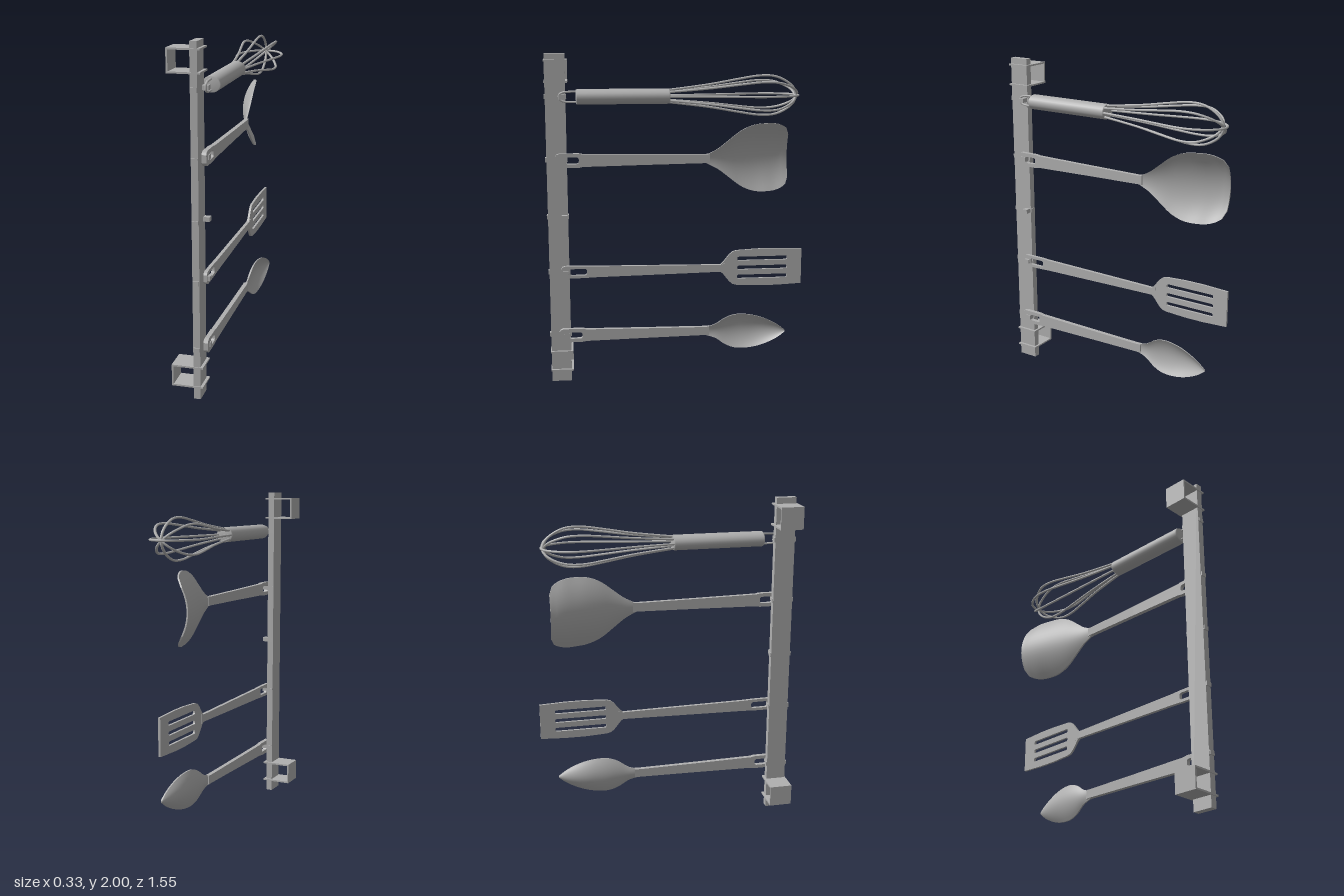
import * as THREE from 'three';

const steel = new THREE.MeshStandardMaterial({ color: 0xb0b0b0 });
steel.name = 'grey steel';

function add(parent, name, geometry, x = 0, y = 0, z = 0) {
  const mesh = new THREE.Mesh(geometry, steel);
  mesh.name = name;
  mesh.position.set(x, y, z);
  parent.add(mesh);
  return mesh;
}

// Box given by its limits on each axis
function slab(parent, name, x0, x1, y0, y1, z0, z1) {
  return add(parent, name, new THREE.BoxGeometry(x1 - x0, y1 - y0, z1 - z0),
    (x0 + x1) / 2, (y0 + y1) / 2, (z0 + z1) / 2);
}

// Symmetric outline from [z, half height] pairs, drawn with -z to the right
function outline(profile) {
  const pts = profile.map(([z, h]) => new THREE.Vector2(-z, -h));
  const back = profile.map(([z, h]) => new THREE.Vector2(-z, h)).reverse();
  return new THREE.Shape([...pts, ...back]);
}

// Rounded slot used for hanging holes and turner cut-outs
function slot(zFront, zBack, h, y = 0) {
  const r = h * 0.8, a = -zFront, b = -zBack;
  const p = new THREE.Path();
  p.moveTo(a + r, y - h);
  p.lineTo(b - r, y - h);
  p.quadraticCurveTo(b, y - h, b, y - h + r);
  p.lineTo(b, y + h - r);
  p.quadraticCurveTo(b, y + h, b - r, y + h);
  p.lineTo(a + r, y + h);
  p.quadraticCurveTo(a, y + h, a, y + h - r);
  p.lineTo(a, y - h + r);
  p.quadraticCurveTo(a, y - h, a + r, y - h);
  return p;
}

// Flat part cut from an outline, its thickness running along x
function flatPart(parent, name, shape, thickness, x, y) {
  const geo = new THREE.ExtrudeGeometry(shape, { depth: thickness, bevelEnabled: false, curveSegments: 6 });
  geo.rotateY(Math.PI / 2);
  return add(parent, name, geo, x, y);
}

// Dished head: each key is [z, half height, x at the middle, x at the rim]
function dishedHead(parent, name, keys, thickness, y) {
  const spline = new THREE.CubicInterpolant(keys.map(k => -k[0]), keys.flat(), 4);
  const first = keys[0][0], last = keys[keys.length - 1][0];
  const geo = new THREE.BoxGeometry(1, 1, 1, 1, 14, 28);
  const pos = geo.attributes.position;
  for (let i = 0; i < pos.count; i++) {
    const t = 0.5 - pos.getZ(i), across = pos.getY(i) * 2;
    const z = THREE.MathUtils.lerp(first, last, t);
    const [, half, mid, rim] = spline.evaluate(-z);
    const x = mid + (rim - mid) * across * across;
    pos.setXYZ(i, x + pos.getX(i) * thickness, Math.max(half, 0.002) * across, z);
  }
  geo.computeVertexNormals();
  return add(parent, name, geo, 0, y);
}

// Handle with a rounded eye at the hanging end
const eyeHandle = [[0.72, 0.022], [0.712, 0.035], [0.695, 0.042], [0.58, 0.042], [0.555, 0.037],
  [0.2, 0.031], [-0.17, 0.026], [-0.2, 0.028]];

function whisk(y) {
  const g = new THREE.Group();
  g.name = 'whisk';
  g.position.set(0.021, y, 0);
  g.scale.y = 0.86;
  // grip with slightly rounded ends
  const grip = new THREE.LatheGeometry([[0, 0.04], [0.048, 0.04], [0.0525, 0.048],
    [0.0525, 0.582], [0.048, 0.59], [0, 0.59]].map(p => new THREE.Vector2(...p)), 24);
  grip.rotateX(Math.PI / 2);
  add(g, 'whiskGrip', grip);
  // wire loops crossing at the tip
  const side = [[0.04, 0.06], [0.055, -0.05], [0.08, -0.21], [0.114, -0.375], [0.134, -0.49],
    [0.131, -0.58], [0.1, -0.66], [0.052, -0.71]];
  for (let i = 0; i < 4; i++) {
    const lift = i * 0.006;
    const pts = [...side, [0, -0.725], ...side.map(([r, z]) => [-r, z]).reverse()]
      .map(([r, z]) => new THREE.Vector3(r, 0, z < -0.6 ? z + lift : z));
    const wire = new THREE.TubeGeometry(new THREE.CatmullRomCurve3(pts), 64, 0.008, 8);
    wire.rotateZ(i * Math.PI / 4);
    add(g, 'whiskWire', wire);
  }
  // hanging loop
  const loop = [[0.57, -0.033], [0.655, -0.033], [0.685, -0.018], [0.685, 0.018], [0.655, 0.033], [0.57, 0.033]]
    .map(([z, h]) => new THREE.Vector3(0, h, z));
  add(g, 'whiskHangingLoop', new THREE.TubeGeometry(
    new THREE.CatmullRomCurve3(loop, true, 'catmullrom', 0.2), 40, 0.007, 8, true));
  return g;
}

function scoopTurner(y) {
  const g = new THREE.Group();
  g.name = 'scoopTurner';
  const shape = outline(eyeHandle);
  shape.holes.push(slot(0.66, 0.58, 0.02));
  flatPart(g, 'turnerHandle', shape, 0.026, 0.004, y);
  dishedHead(g, 'turnerHead', [
    [-0.18, 0.026, 0.016, 0.018], [-0.25, 0.062, 0.003, 0.015], [-0.31, 0.108, -0.013, 0.014],
    [-0.39, 0.168, -0.038, 0.012], [-0.47, 0.2, -0.063, 0.005], [-0.55, 0.207, -0.087, -0.01],
    [-0.61, 0.203, -0.104, -0.03], [-0.66, 0.185, -0.116, -0.05], [-0.685, 0.165, -0.12, -0.068],
    [-0.698, 0.13, -0.124, -0.09]], 0.01, y - 0.003);
  return g;
}

function spoon(y) {
  const g = new THREE.Group();
  g.name = 'spoon';
  const shape = outline(eyeHandle);
  shape.holes.push(slot(0.66, 0.58, 0.02));
  flatPart(g, 'spoonHandle', shape, 0.026, 0.004, y);
  dishedHead(g, 'spoonBowl', [
    [-0.18, 0.026, 0.016, 0.018], [-0.24, 0.045, 0.012, 0.023], [-0.3, 0.085, 0.007, 0.03],
    [-0.35, 0.105, 0.004, 0.035], [-0.41, 0.11, 0.004, 0.04], [-0.5, 0.096, 0.01, 0.049],
    [-0.57, 0.07, 0.024, 0.056], [-0.63, 0.037, 0.044, 0.061], [-0.67, 0.005, 0.062, 0.064]], 0.008, y - 0.003);
  return g;
}

function slottedTurner(y) {
  const g = new THREE.Group();
  g.name = 'slottedTurner';
  const handle = outline([[0.7, 0.02], [0.692, 0.032], [0.675, 0.038], [0.56, 0.037], [0.5, 0.034],
    [0.1, 0.028], [-0.27, 0.022], [-0.3, 0.03]]);
  handle.holes.push(slot(0.65, 0.545, 0.02));
  flatPart(g, 'slottedTurnerHandle', handle, 0.02, 0.002, y);
  const blade = outline([[-0.27, 0.022], [-0.285, 0.035], [-0.325, 0.085], [-0.345, 0.102], [-0.37, 0.109],
    [-0.5, 0.116], [-0.62, 0.116], [-0.775, 0.109]]);
  for (const dy of [-0.057, 0, 0.057]) blade.holes.push(slot(-0.375, -0.685, 0.012, dy));
  flatPart(g, 'slottedTurnerBlade', blade, 0.014, 0.004, y);
  return g;
}

export function createModel() {
  const model = new THREE.Group();
  model.name = 'utensilRack';

  // upright rail
  slab(model, 'rail', -0.04, 0, 0, 2, 0.65, 0.77);

  // channel brackets behind the rail ends
  for (const [y0, y1] of [[0.068, 0.196], [1.832, 1.964]]) {
    const bracket = new THREE.Group();
    bracket.name = 'bracket';
    slab(bracket, 'bracketBack', -0.166, -0.156, y0, y1, 0.637, 0.775);
    for (const y of [y0, y1 - 0.01]) slab(bracket, 'bracketArm', -0.166, 0.016, y, y + 0.01, 0.637, 0.775);
    model.add(bracket);
  }

  // hooks: a strip through the rail with a peg on the side
  for (const y of [1.75, 1.38, 1.035, 0.695, 0.3]) {
    const hook = new THREE.Group();
    hook.name = 'hook';
    slab(hook, 'hookStrip', -0.038, -0.002, y - 0.013, y + 0.013, 0.645, 0.777);
    slab(hook, 'hookPeg', -0.005, 0.036, y - 0.013, y + 0.013, 0.655, 0.688);
    model.add(hook);
  }

  model.add(whisk(1.751), scoopTurner(1.377), slottedTurner(0.697), spoon(0.3));
  return model;
}
